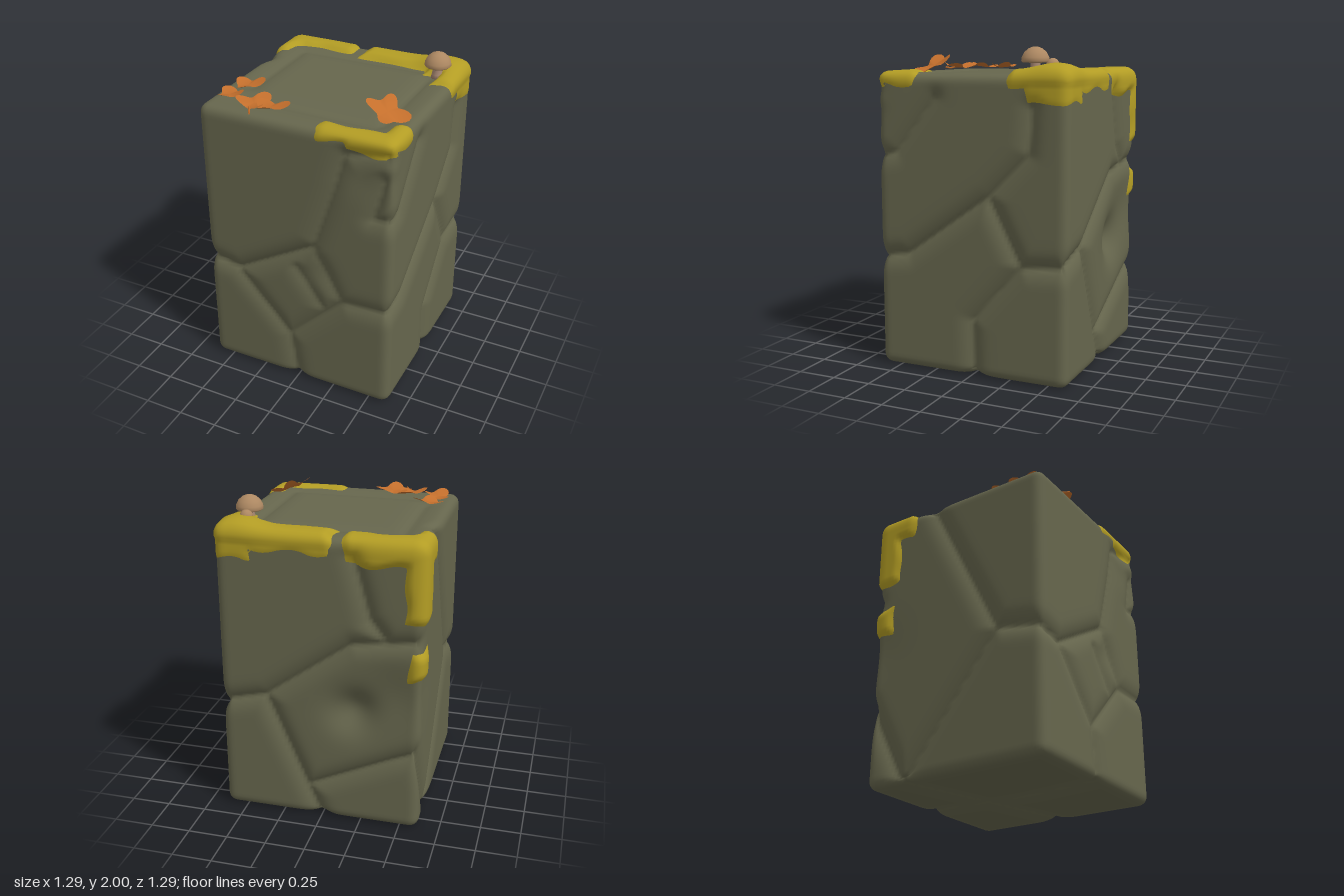
import * as THREE from 'three';
import { mergeVertices } from 'three/addons/utils/BufferGeometryUtils.js';

const mat = (name, color, side = THREE.FrontSide) => {
  const m = new THREE.MeshStandardMaterial({ color, side });
  m.name = name;
  return m;
};
const V = (x, y, z) => new THREE.Vector3(x, y, z);

// Block extents
const CENTER = V(0.01, 0.92, 0), HALF = V(0.63, 0.92, 0.63), ROUND = 0.06;

// Each face turns two coordinates into a point on the block
const FACE = {
  front: (x, y) => V(x, y, 0.63),
  back: (x, y) => V(x, y, -0.63),
  right: (z, y) => V(0.64, y, z),
  left: (z, y) => V(-0.62, y, z),
  top: (x, z) => V(x, 1.84, z),
  bottom: (x, z) => V(x, 0, z),
};

// Cracks between the stones, as short paths on one face
const cracks = [];
function crack(face, depth, ...paths) {
  for (const path of paths) {
    for (let i = 1; i < path.length; i++) {
      cracks.push({ depth, line: new THREE.Line3(FACE[face](...path[i - 1]), FACE[face](...path[i])) });
    }
  }
}
crack('front', 0.9, [[-0.62, 0.78], [-0.4, 0.74], [0.12, 1.04]]);
crack('front', 0.7,
  [[-0.42, 0.74], [-0.05, 0.33], [0, 0]],
  [[-0.05, 0.33], [0.32, 0.69], [0.64, 0.7]],
  [[0.12, 1.04], [0.27, 1.5], [0.33, 1.72], [0.6, 1.76]],
  [[0.58, 1.6], [0.51, 1.34], [0.64, 1.35]]);
crack('front', 0.5, [[0, 0.87], [0.19, 0.61]], [[0.12, 1.04], [0.32, 0.69]]);
crack('right', 0.9,
  [[0.63, 0.7], [0.43, 0.73], [-0.12, 1.12], [-0.38, 1.38], [-0.4, 1.65]],
  [[-0.12, 1.12], [-0.33, 0.71], [-0.63, 0.73]],
  [[-0.33, 0.71], [-0.01, 0.35], [-0.02, 0]]);
crack('right', 0.7, [[0.63, 1.33], [0.5, 1.36], [0.23, 1.7]]);
crack('back', 0.9,
  [[0.64, 0.74], [0.35, 0.81], [-0.19, 1.2], [-0.62, 1.25]],
  [[0.35, 0.81], [0, 0]],
  [[-0.2, 1.74], [-0.3, 1.37], [-0.4, 1.24]],
  [[0.06, 0.22], [-0.45, 0.46], [-0.62, 0.53]]);
crack('left', 0.9,
  [[-0.63, 0.53], [-0.36, 0]],
  [[-0.2, 1.84], [0.3, 0.84], [0.63, 0.78]],
  [[0.3, 0.84], [-0.36, 0]]);
crack('top', 0.4,
  [[-0.45, 0.25], [-0.45, -0.4], [0.45, -0.42]],
  [[-0.4, 0.42], [0.45, 0.43]],
  [[0.46, -0.3], [0.47, 0.4]]);
crack('bottom', 0.7, [[0, 0.63], [0.05, 0.1], [0, -0.63]], [[0.64, -0.02], [-0.62, -0.36]]);

// Shallow hollows: centre, radius, depth
const DENTS = [
  [FACE.front(0.14, 0.86), 0.1, 0.015],
  [FACE.back(-0.2, 0.76), 0.14, 0.08],
  [FACE.back(-0.42, 0.9), 0.2, 0.03],
  [FACE.front(0.45, 1.6), 0.13, 0.012],
];

const near = V(0, 0, 0);
function crackDepth(p) {
  let depth = 0;
  for (const c of cracks) {
    const d = c.line.closestPointToPoint(p, true, near).distanceTo(p);
    depth = Math.max(depth, c.depth * (0.028 * Math.exp(-d / 0.018) + 0.024 * Math.exp(-((d / 0.065) ** 2))));
  }
  for (const [q, r, k] of DENTS) depth += k * Math.exp(-((q.distanceTo(p) / r) ** 2));
  return depth;
}

// Rounded, cracked surface point and its outward direction
function surface(p) {
  const q = p.clone().sub(CENTER);
  const lim = HALF.clone().subScalar(ROUND);
  const inner = q.clone().clamp(lim.clone().negate(), lim);
  const dir = q.sub(inner).normalize();
  const pos = inner.addScaledVector(dir, ROUND - crackDepth(p)).add(CENTER);
  return { pos, dir };
}

function grid() {
  const g = new THREE.BoxGeometry(HALF.x * 2, HALF.y * 2, HALF.z * 2, 64, 92, 64);
  g.deleteAttribute('uv');
  g.deleteAttribute('normal');
  g.translate(CENTER.x, CENTER.y, CENTER.z);
  return mergeVertices(g, 1e-4);
}

function stoneGeometry() {
  const g = grid(), a = g.attributes.position, p = V(0, 0, 0);
  for (let i = 0; i < a.count; i++) {
    const { pos } = surface(p.fromBufferAttribute(a, i));
    a.setXYZ(i, pos.x, pos.y, pos.z);
  }
  g.computeVertexNormals();
  return g;
}

// Moss: the block surface lifted inside a union of wavy-edged boxes, with an optional mound
function mossGeometry(boxes, topLift, sideLift, mound = 0) {
  const g = grid(), a = g.attributes.position, p = V(0, 0, 0), mask = [];
  for (let i = 0; i < a.count; i++) {
    p.fromBufferAttribute(a, i);
    let m = -1;
    for (const b of boxes) {
      m = Math.max(m, Math.min(p.x - b[0], b[1] - p.x, p.y - b[2], b[3] - p.y, p.z - b[4], b[5] - p.z));
    }
    m += 0.018 * Math.sin(p.x * 19 + p.y * 8) * Math.cos(p.z * 17 + p.y * 13 + 1);
    mask.push(m);
    if (m < -0.06) continue;
    const { pos, dir } = surface(p);
    const up = Math.max(dir.y, 0);
    const hump = mound * Math.exp(-((Math.hypot(p.x - 0.5, p.z + 0.5) / 0.14) ** 2));
    const lift = sideLift + (topLift - sideLift + hump) * up;
    pos.addScaledVector(dir, -0.012 + (lift + 0.012) * THREE.MathUtils.smoothstep(m, -0.025, 0.05));
    a.setXYZ(i, pos.x, pos.y, pos.z);
  }
  const ix = g.index.array, keep = [];
  for (let i = 0; i < ix.length; i += 3) {
    const t = [ix[i], ix[i + 1], ix[i + 2]];
    if (t.every((k) => mask[k] > -0.05)) keep.push(...t);
  }
  g.setIndex(keep);
  g.computeVertexNormals();
  return g;
}

// Lobed, curled leaf
function leafGeometry(size, lobes) {
  const g = new THREE.RingGeometry(0.001, 1, 40, 4).rotateX(-Math.PI / 2);
  const a = g.attributes.position;
  for (let i = 0; i < a.count; i++) {
    const x = a.getX(i), z = a.getZ(i), t = Math.atan2(z, x), r = Math.hypot(x, z);
    const k = size * (0.8 + 0.2 * Math.cos(lobes * t) + 0.08 * Math.sin(2 * t + 1));
    a.setXYZ(i, x * k, 0.025 * r * r * (0.5 + 0.5 * Math.cos(lobes * t + 0.6)), z * k);
  }
  g.computeVertexNormals();
  return g;
}

const lathe = (pts, r, y, h, sides) =>
  new THREE.LatheGeometry(pts.map(([a, b]) => new THREE.Vector2(a * r, y + b * h)), sides);

export function createModel() {
  const root = new THREE.Group();
  const stone = mat('stone', 0x66664d), moss = mat('moss', 0xb39d24);
  const leafMat = mat('dryLeaf', 0xc46f2c, THREE.DoubleSide);
  const cap = mat('mushroomCap', 0xad8862), stem = mat('mushroomStem', 0xa88873);
  const add = (name, geo, m, parent = root) => {
    const mesh = new THREE.Mesh(geo, m);
    mesh.name = name;
    parent.add(mesh);
    return mesh;
  };

  add('stoneBlock', stoneGeometry(), stone);

  // Moss patches: boxes as x, y and z ranges
  add('mossBackRight', mossGeometry([
    [-0.08, 0.9, 1.72, 2, -0.9, -0.44],
    [0.5, 0.9, 1.75, 2, -0.9, -0.24],
    [0.4, 0.9, 1.65, 2, -0.9, -0.34],
  ], 0.03, 0.004, 0.04), moss);
  add('mossBackLeft', mossGeometry([
    [-0.9, -0.13, 1.69, 2, -0.9, -0.47],
    [-0.9, -0.52, 1.66, 2, -0.9, -0.33],
    [-0.9, -0.5, 1.36, 2, -0.9, -0.44],
    [-0.9, -0.54, 1.0, 1.2, -0.9, -0.48],
  ], 0.024, 0.022), moss);
  add('mossFrontRight', mossGeometry([
    [0.15, 0.9, 1.77, 2, 0.49, 0.9],
    [0.3, 0.9, 1.72, 2, 0.54, 0.9],
    [0.52, 0.9, 1.75, 2, 0.36, 0.9],
  ], 0.015, 0.006), moss);

  // Fallen leaves: x, y, z, size, lobes, spin, tilt x, tilt z
  [
    [-0.47, 1.855, 0.28, 0.1, 3, 0.5, 0.05, 0.1],
    [-0.5, 1.855, 0.45, 0.1, 3, 2.2, -0.08, 0.1],
    [-0.31, 1.855, 0.49, 0.11, 3, 1.2, 0.05, -0.08],
    [-0.19, 1.86, 0.51, 0.11, 3, 0.4, -0.1, 0.08],
    [0.46, 1.885, 0.32, 0.13, 4, 0.25, 0.25, -0.4],
  ].forEach(([x, y, z, size, lobes, spin, tx, tz]) => {
    const leaf = add('leaf', leafGeometry(size, lobes), leafMat);
    leaf.position.set(x, y, z);
    leaf.rotation.set(tx, spin, tz, 'ZXY');
  });
  const stalk = new THREE.CatmullRomCurve3([V(-0.3, 1.86, 0.56), V(-0.28, 1.85, 0.6), V(-0.26, 1.855, 0.63)]);
  add('leafStalk', new THREE.TubeGeometry(stalk, 6, 0.006, 5), leafMat);

  // Mushrooms: x, ground y, z, height, cap radius, lean
  const capProfile = [[0, -0.15], [0.9, -0.1], [1, 0], [0.97, 0.25], [0.8, 0.6], [0.5, 0.86], [0.2, 0.98], [0, 1]];
  const stemProfile = [[0, 0], [0.5, 0], [0.42, 0.3], [0.34, 0.7], [0.38, 1]];
  [
    [0.5, 1.83, -0.37, 0.17, 0.083, 0],
    [0.485, 1.85, -0.465, 0.085, 0.04, 0.15],
  ].forEach(([x, y, z, h, r, lean]) => {
    const m = new THREE.Group();
    m.name = 'mushroom';
    add('cap', lathe(capProfile, r, h - r, r, 24), cap, m);
    add('stem', lathe(stemProfile, r, 0, h - r, 14), stem, m);
    m.position.set(x, y, z);
    m.rotation.x = -lean;
    root.add(m);
  });
  return root;
}
